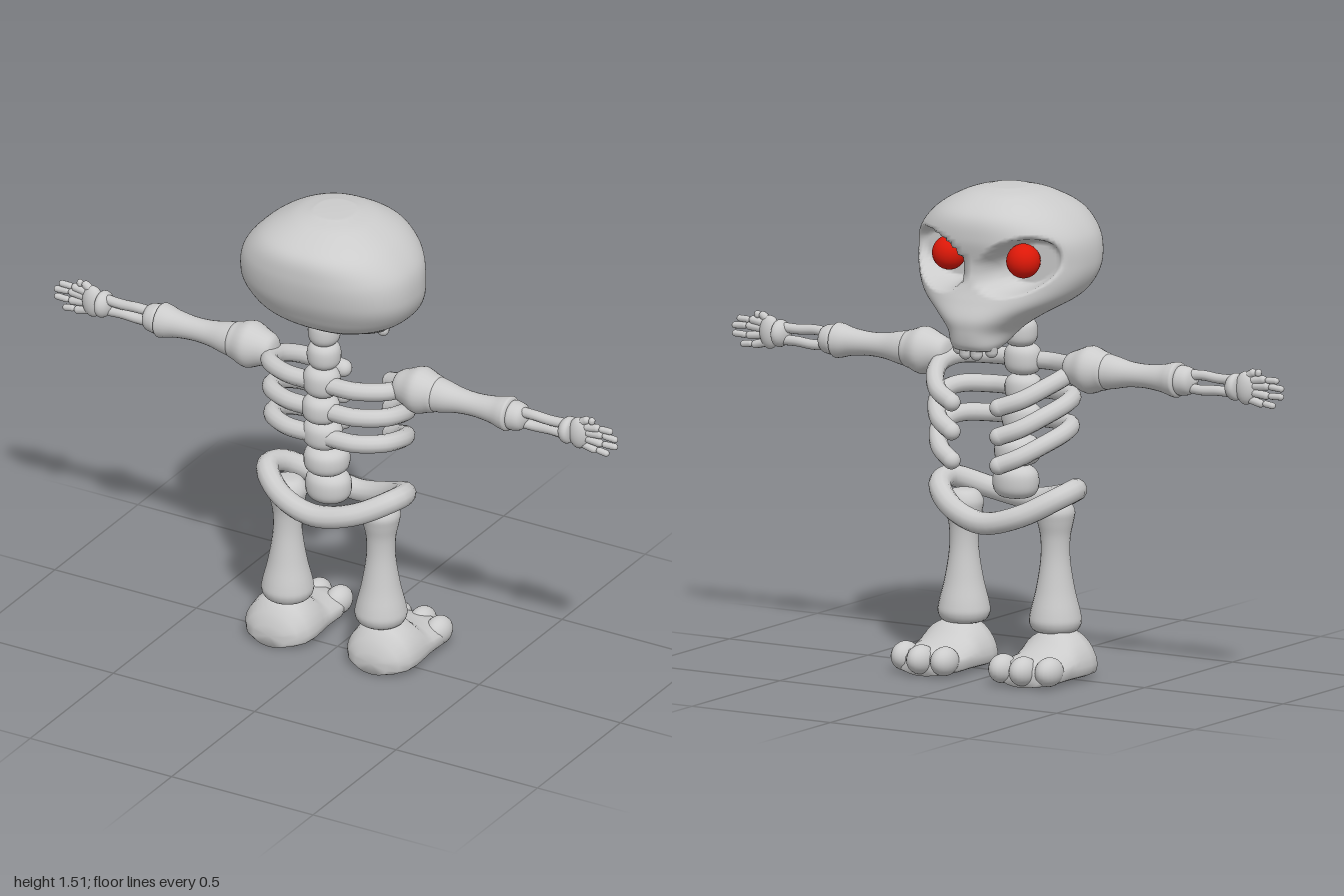
import * as THREE from 'three';

const grey = new THREE.MeshStandardMaterial({ color: 0xcccccc });
const red = new THREE.MeshStandardMaterial({ color: 0xdd1808 });
const V = (x, y, z) => new THREE.Vector3(x, y, z);

function add(parent, name, geometry, material = grey) {
  const mesh = new THREE.Mesh(geometry, material);
  mesh.name = name;
  parent.add(mesh);
  return mesh;
}

function blob(parent, name, pos, size, material = grey) {
  const mesh = add(parent, name, new THREE.SphereGeometry(1, 20, 14), material);
  mesh.position.set(...pos);
  mesh.scale.set(...size);
  return mesh;
}

// Skin over equal rings of points, closed at both ends
function loft(rings) {
  const n = rings[0].length, pos = [], idx = [];
  rings.forEach(r => r.forEach(p => pos.push(p.x, p.y, p.z)));
  for (let i = 0; i < rings.length - 1; i++) for (let j = 0; j < n; j++) {
    const a = i * n + j, b = i * n + (j + 1) % n;
    idx.push(a, b, b + n, a, b + n, a + n);
  }
  const last = rings.length - 1;
  [0, last].forEach(i => {
    const c = rings[i].reduce((s, p) => s.add(p), V(0, 0, 0)).divideScalar(n);
    const k = pos.length / 3;
    pos.push(c.x, c.y, c.z);
    for (let j = 0; j < n; j++) {
      const a = i * n + j, b = i * n + (j + 1) % n;
      if (i === 0) idx.push(k, b, a); else idx.push(k, a, b);
    }
  });
  const g = new THREE.BufferGeometry();
  g.setAttribute('position', new THREE.Float32BufferAttribute(pos, 3));
  g.setIndex(idx);
  g.computeVertexNormals();
  return g;
}

// Round bone from [radius, height] points, bottom to top
function bone(points) {
  const curve = new THREE.SplineCurve(points.map(p => new THREE.Vector2(...p)));
  const pts = curve.getPoints(points.length * 4);
  pts.forEach(p => { p.x = Math.max(p.x, 0); });
  return new THREE.LatheGeometry(pts, 24);
}

function tube(points, radius, closed = false) {
  const curve = new THREE.CatmullRomCurve3(points.map(p => V(...p)), closed);
  return new THREE.TubeGeometry(curve, 48, radius, 12, closed);
}

// Bar with rounded ends between two points
function stick(parent, name, a, b, r) {
  const A = V(...a), B = V(...b), d = B.clone().sub(A);
  const mesh = add(parent, name, new THREE.CapsuleGeometry(r, d.length(), 5, 10));
  mesh.position.copy(A).add(B).multiplyScalar(0.5);
  mesh.quaternion.setFromUnitVectors(V(0, 1, 0), d.normalize());
}

function skullGeometry() {
  // height, half width, front z, back z
  const rows = [
    [1.03, 0.07, -0.225, -0.12], [1.05, 0.085, -0.238, -0.07], [1.09, 0.105, -0.246, 0.02],
    [1.13, 0.155, -0.248, 0.10], [1.18, 0.235, -0.228, 0.18], [1.23, 0.275, -0.208, 0.215],
    [1.29, 0.29, -0.197, 0.24], [1.37, 0.278, -0.21, 0.25], [1.44, 0.22, -0.195, 0.232],
    [1.49, 0.135, -0.125, 0.15], [1.51, 0.06, -0.05, 0.08],
  ];
  const size = new THREE.CatmullRomCurve3(rows.map(r => V(r[1], r[0], 0)), false, 'catmullrom');
  const depth = new THREE.CatmullRomCurve3(rows.map(r => V(r[2], r[3], 0)), false, 'catmullrom');
  const rings = [], N = 96, M = 80;
  for (let i = 0; i <= M; i++) {
    const s = size.getPoint(i / M), d = depth.getPoint(i / M), ring = [];
    const mid = d.x + (d.y - d.x) * 0.52;
    for (let j = 0; j < N; j++) {
      const t = j / N * Math.PI * 2, c = Math.cos(t), q = Math.sin(t);
      const f = v => Math.sign(v) * Math.pow(Math.abs(v), 0.86);
      const x = s.x * f(c), reach = q > 0 ? mid - d.x : d.y - mid;
      let z = mid - reach * f(q);
      // eye sockets, tilted down towards the nose
      if (z < 0.0) {
        const u = Math.abs(x) - 0.15, v = s.y - 1.295 - u * 0.25;
        const e = Math.hypot(u / 0.125, v / 0.09);
        const k = THREE.MathUtils.smoothstep(1 - e, 0, 0.3);
        z += (Math.max(z, -0.075) - z) * k;
      }
      ring.push(V(x, s.y, z));
    }
    rings.push(ring);
  }
  return loft(rings);
}

function footGeometry() {
  // z, half width, height
  const rows = [[-0.205, 0.07, 0.06], [-0.19, 0.10, 0.08], [-0.14, 0.115, 0.09], [-0.09, 0.112, 0.1],
    [-0.06, 0.112, 0.12], [-0.03, 0.115, 0.15], [0.02, 0.118, 0.156], [0.06, 0.112, 0.148],
    [0.09, 0.09, 0.11], [0.108, 0.055, 0.07]];
  return loft(rows.map(([z, w, h]) => Array.from({ length: 28 }, (_, j) => {
    const t = j / 28 * Math.PI * 2, s = Math.sin(t);
    const y = s > 0 ? 0.045 + (h - 0.045) * s : 0.045 * (1 - Math.sqrt(-s));
    const taper = s > 0 ? 1 - 0.1 * s : 1;
    return V(w * Math.cos(t) * taper, y, z);
  })));
}

// Arm, leg and ribs of one side
function buildSide(sign) {
  const side = new THREE.Group();
  side.name = sign > 0 ? 'leftSide' : 'rightSide';
  side.scale.x = sign;

  const eye = blob(side, 'eye', [0.134, 1.305, -0.113], [0.053, 0.053, 0.053], red);
  eye.name = 'eye';
  [0.02, 0.058].forEach((x, i) =>
    stick(side, 'tooth', [x, 1.07, -0.205 + i * 0.02], [x, 1.018 + i * 0.008, -0.2 + i * 0.025], 0.02));

  // ribs sweep around from the spine to the open chest
  [0.955, 0.865, 0.775].forEach((y, i) => {
    const w = 0.225 - i * 0.005;
    add(side, 'rib', tube([[0.02, y, 0.11], [0.12, y, 0.105], [w - 0.02, y, 0.06], [w, y - 0.012, -0.01],
      [w - 0.025, y - 0.04, -0.09], [w - 0.075, y - 0.075, -0.15], [0.085, y - 0.1, -0.178]], 0.028));
    blob(side, 'ribTip', [0.085, y - 0.1, -0.178], [0.028, 0.028, 0.028]);
  });

  // arm
  const arm = new THREE.Group();
  arm.name = 'arm';
  arm.position.set(0, 0.965, 0.01);
  side.add(arm);
  const shoulder = bone([[0.0, 0.21], [0.04, 0.22], [0.06, 0.26], [0.074, 0.3], [0.062, 0.34], [0.05, 0.365], [0, 0.37]]);
  add(arm, 'shoulder', shoulder.rotateZ(-Math.PI / 2));
  const upper = bone([[0, 0.345], [0.05, 0.355], [0.052, 0.38], [0.04, 0.44], [0.037, 0.5], [0.043, 0.56],
    [0.053, 0.6], [0.05, 0.62], [0, 0.63]]);
  add(arm, 'upperArm', upper.rotateZ(-Math.PI / 2));
  const elbow = bone([[0, 0.615], [0.042, 0.62], [0.046, 0.64], [0.036, 0.665], [0, 0.68]]);
  add(arm, 'elbow', elbow.rotateZ(-Math.PI / 2));
  [1, -1].forEach(s => add(arm, 'forearmBone', tube([[0.64, s * 0.018, 0], [0.7, s * 0.022, s * 0.006],
    [0.76, s * 0.018, s * 0.004], [0.83, s * 0.02, 0]], 0.016)));
  const wrist = bone([[0, 0.79], [0.028, 0.8], [0.042, 0.818], [0.036, 0.835], [0, 0.842]]);
  add(arm, 'wrist', wrist.rotateZ(-Math.PI / 2));

  // hand: palm bones and two-jointed fingers spread in a flat fan
  blob(arm, 'palm', [0.86, 0, 0], [0.035, 0.052, 0.026]);
  [[0.87, 0.04, 0.905, 0.052], [0.88, 0.025, 0.968, 0.032], [0.885, 0.008, 0.986, 0.009],
    [0.885, -0.012, 0.985, -0.016], [0.875, -0.034, 0.955, -0.046]].forEach(([x0, y0, x1, y1]) => {
    const xm = (x0 + x1) / 2 + 0.005, ym = (y0 + y1) / 2 + Math.sign(y1) * 0.003;
    stick(arm, 'fingerBase', [x0, y0, 0], [xm - 0.008, ym, 0], 0.013);
    stick(arm, 'fingerTip', [xm + 0.012, ym, 0], [x1, y1, 0], 0.0105);
  });

  // leg and foot
  const leg = add(side, 'leg', bone([[0, 0.135], [0.06, 0.14], [0.08, 0.165], [0.077, 0.2], [0.06, 0.27], [0.046, 0.36],
    [0.046, 0.43], [0.056, 0.48], [0.06, 0.515], [0.04, 0.545], [0, 0.55]]));
  leg.position.set(0.165, 0, 0.02);
  const foot = new THREE.Group();
  foot.name = 'foot';
  foot.position.x = 0.18;
  side.add(foot);
  add(foot, 'footBody', footGeometry());
  [[-0.075, -0.185], [0.005, -0.195], [0.08, -0.165]].forEach(([x, z]) =>
    blob(foot, 'toe', [x, 0.05, z], [0.04, 0.045, 0.055]));
  return side;
}

export function createModel() {
  const model = new THREE.Group();
  model.name = 'skeleton';
  add(model, 'skull', skullGeometry());

  // spine: height, z, half width, half height, half depth
  [[1.125, 0.08, 0.05, 0.046, 0.053], [1.043, 0.082, 0.053, 0.043, 0.053], [0.957, 0.095, 0.06, 0.047, 0.055],
    [0.865, 0.1, 0.06, 0.043, 0.056], [0.775, 0.09, 0.065, 0.045, 0.056], [0.678, 0.065, 0.072, 0.045, 0.072],
    [0.583, 0.055, 0.074, 0.05, 0.065]].forEach(([y, z, w, h, d]) => {
    const v = add(model, 'vertebra', bone([[0, -1], [0.6, -0.97], [0.92, -0.6], [1, 0], [0.92, 0.6], [0.6, 0.97], [0, 1]]));
    v.position.set(0, y, z);
    v.scale.set(w, h, d);
  });

  // saddle-shaped pelvis ring
  add(model, 'pelvis', tube([[0, 0.515, 0.145], [0.13, 0.54, 0.12], [0.225, 0.58, 0.04], [0.215, 0.565, -0.04],
    [0.12, 0.51, -0.11], [0, 0.48, -0.13], [-0.12, 0.51, -0.11], [-0.215, 0.565, -0.04],
    [-0.225, 0.58, 0.04], [-0.13, 0.54, 0.12]], 0.035, true));

  [1, -1].forEach(s => model.add(buildSide(s)));
  return model;
}
